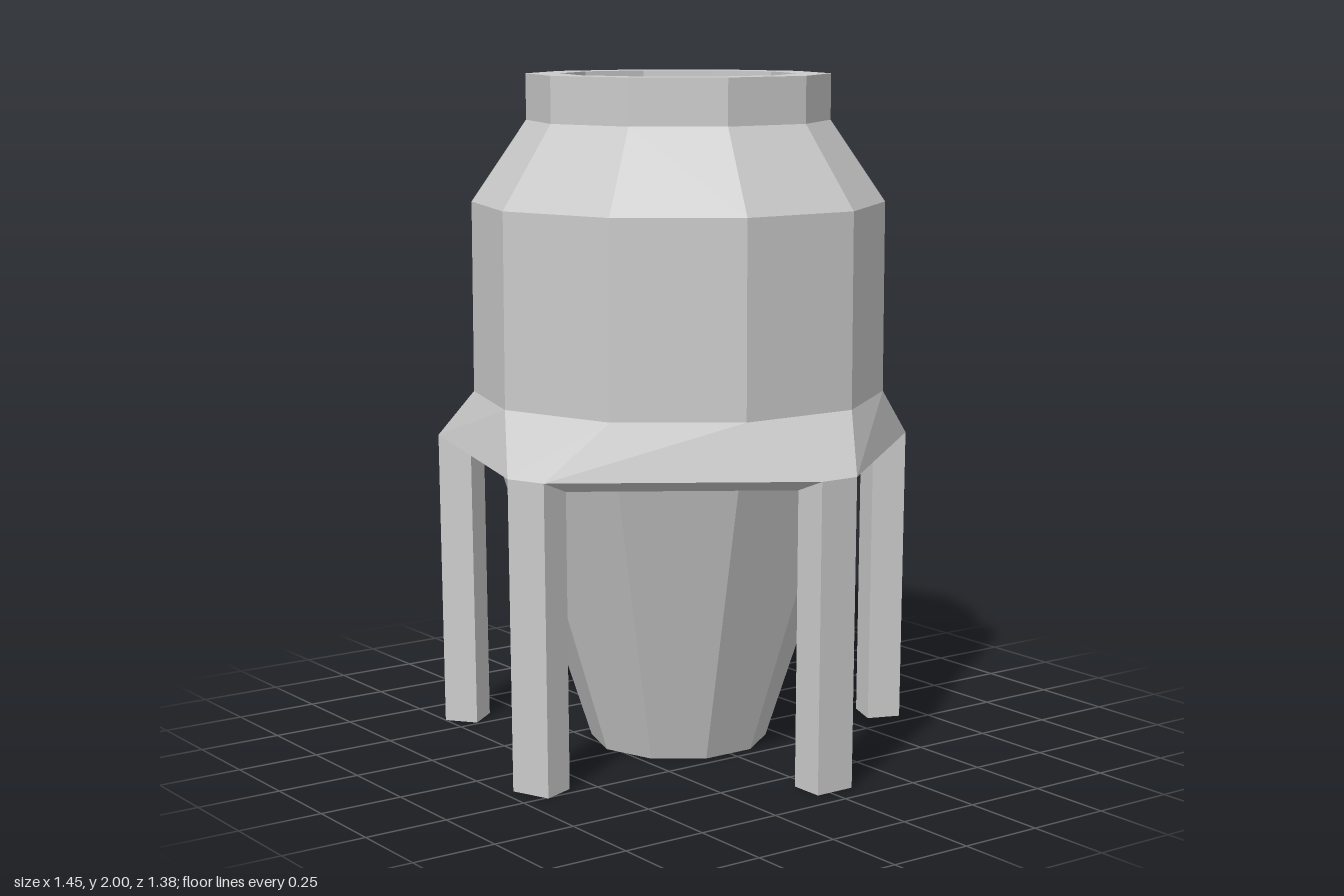
import * as THREE from 'three';

const CX = -0.005, CZ = -0.04, SIDES = 10;
const material = new THREE.MeshStandardMaterial({ color: 0xcccccc, flatShading: true, side: THREE.DoubleSide });

function makeMesh(name, geometry) {
  const flat = geometry.index ? geometry.toNonIndexed() : geometry;
  flat.computeVertexNormals();
  const mesh = new THREE.Mesh(flat, material);
  mesh.name = name;
  return mesh;
}

// Skin a series of closed loops (arrays of [x, y, z]), optionally capping the first and last
function skinLoops(loops, capped) {
  const n = loops[0].length, positions = [];
  const tri = (...corners) => corners.forEach((c) => positions.push(...c));
  for (let k = 0; k + 1 < loops.length; k++) {
    const a = loops[k], b = loops[k + 1];
    for (let i = 0; i < n; i++) {
      const j = (i + 1) % n;
      tri(a[i], b[i], a[j]);
      tri(a[j], b[i], b[j]);
    }
  }
  if (capped) {
    const a = loops[0], b = loops[loops.length - 1];
    for (let i = 1; i + 1 < n; i++) {
      tri(a[0], a[i], a[i + 1]);
      tri(b[0], b[i + 1], b[i]);
    }
  }
  const geometry = new THREE.BufferGeometry();
  geometry.setAttribute('position', new THREE.Float32BufferAttribute(positions, 3));
  return geometry;
}

// Ten-sided loop around the body axis
const ring = (r, y) => Array.from({ length: SIDES }, (_, i) => {
  const a = (i / SIDES) * Math.PI * 2;
  return [CX + r * Math.cos(a), y, CZ + r * Math.sin(a)];
});

// Outer corner pairs [x, z] of the five legs, in order around the axis
const legPairs = [
  [[0.72, 0.10], [0.68, 0.205]],
  [[0.08, 0.69], [-0.045, 0.69]],
  [[-0.68, 0.26], [-0.725, 0.145]],
  [[-0.505, -0.60], [-0.415, -0.67]],
  [[0.36, -0.695], [0.45, -0.63]],
];

// Move a leg's outer corners straight inward by its depth
function innerPair([p, q], depth) {
  const dx = q[0] - p[0], dz = q[1] - p[1], len = Math.hypot(dx, dz);
  const nx = -dz / len * depth, nz = dx / len * depth;
  return [[p[0] + nx, p[1] + nz], [q[0] + nx, q[1] + nz]];
}

export function createModel() {
  const group = new THREE.Group();

  // Hollow body: funnel, drum, shoulder and neck, then the inside wall back down
  const profile = [
    [0, 0], [0.265, 0], [0.61, 1.06], [0.61, 1.625], [0.447, 1.865], [0.447, 2],
    [0.345, 2], [0.345, 1.865], [0.51, 1.6], [0.51, 1.06], [0.195, 0.1], [0, 0.1],
  ].map(([r, y]) => new THREE.Vector2(r, y));
  const body = makeMesh('body', new THREE.LatheGeometry(profile, SIDES).rotateY(Math.PI / 10));
  body.position.set(CX, 0, CZ);
  group.add(body);

  // Skirt flaring from the drum to the leg tops, with its underside
  const at = (y) => ([x, z]) => [x, y, z];
  const outer = legPairs.flat().map(at(0.9));
  const inner = legPairs.flatMap((pair) => innerPair(pair, 0.105)).map(at(0.86));
  group.add(makeMesh('skirt', skinLoops([ring(0.545, 0.875), inner, outer, ring(0.61, 1.06)], false)));

  // Five legs, leaning in very slightly towards the foot
  const legs = new THREE.Group();
  legs.name = 'legs';
  legPairs.forEach((pair, i) => {
    const [ip, iq] = innerPair(pair, 0.105);
    const corners = [pair[0], pair[1], iq, ip];
    const foot = corners.map(([x, z]) => [x * 0.988, 0, z * 0.988]);
    const top = corners.map(([x, z], k) => [x, k < 2 ? 0.9 : 0.86, z]);
    legs.add(makeMesh(`leg${i + 1}`, skinLoops([foot, top], true)));
  });
  group.add(legs);

  return group;
}
